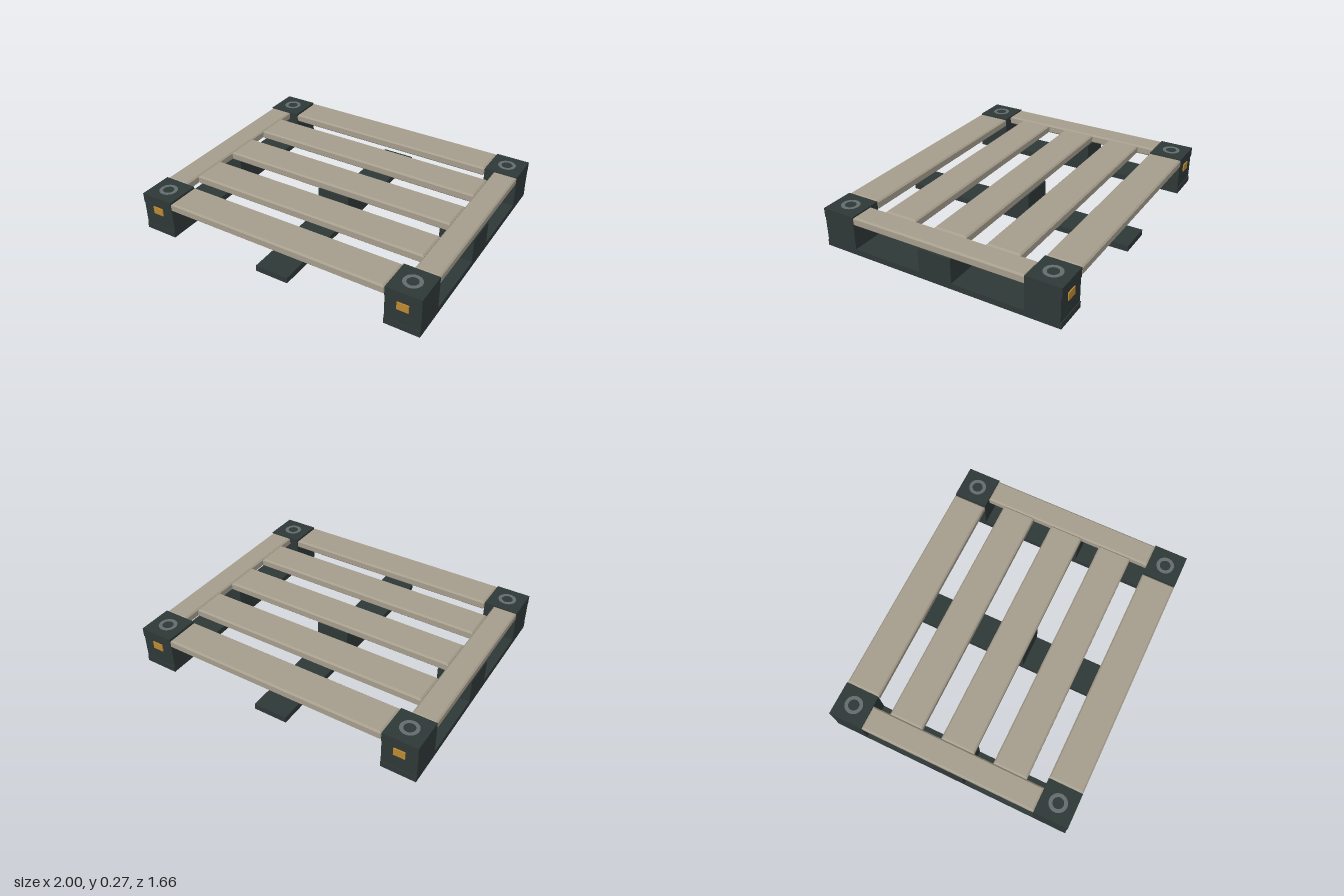
import * as THREE from 'three';

const dark = new THREE.MeshStandardMaterial({ color: 0x2e3837, name: 'dark base' });
const wood = new THREE.MeshStandardMaterial({ color: 0xa69e8d, name: 'weathered board' });
const amber = new THREE.MeshStandardMaterial({ color: 0xbd8a30, name: 'amber marker' });
const grey = new THREE.MeshStandardMaterial({ color: 0x636c6d, name: 'grey ring' });

export function createModel() {
  const model = new THREE.Group();
  model.name = 'pallet';

  const add = (name, geometry, material, x, y, z) => {
    const mesh = new THREE.Mesh(geometry, material);
    mesh.name = name;
    mesh.position.set(x, y, z);
    model.add(mesh);
    return mesh;
  };

  // Box given by its centre in plan and its bottom and top heights
  const box = (name, material, x, z, w, d, y0, y1) =>
    add(name, new THREE.BoxGeometry(w, y1 - y0, d), material, x, (y0 + y1) / 2, z);

  // Deck board with chamfered edges
  const board = (name, x, z, w, d) => {
    const y0 = 0.205, y1 = 0.265, b = 0.01;
    const hw = w / 2 - b, hd = d / 2 - b;
    const shape = new THREE.Shape([
      new THREE.Vector2(-hw, -hd), new THREE.Vector2(hw, -hd),
      new THREE.Vector2(hw, hd), new THREE.Vector2(-hw, hd),
    ]);
    const geometry = new THREE.ExtrudeGeometry(shape, {
      depth: y1 - y0 - 2 * b, bevelEnabled: true,
      bevelSize: b, bevelThickness: b, bevelSegments: 1,
    });
    geometry.rotateX(-Math.PI / 2);
    add(name, geometry, wood, x, y0 + b, z);
  };

  // Three runners, each with a middle block
  for (const x of [-0.885, 0, 0.885]) {
    box('runner', dark, x, 0, 0.23, 1.66, 0, 0.04);
    box('middleBlock', dark, x, 0, 0.23, 0.23, 0.04, 0.205);
  }
  // Short blocks under the ends of the central runner are absent: only the corners rise

  // Corner blocks with caps, socket rings and markers
  for (const sx of [-1, 1]) {
    for (const sz of [-1, 1]) {
      const x = sx * 0.885, z = sz * 0.715;
      box('cornerBlock', dark, x, z - sz * 0.0025, 0.23, 0.225, 0.04, 0.205);
      box('cornerCap', dark, x, z, 0.23, 0.23, 0.205, 0.267);
      const ring = add('socketRing', new THREE.RingGeometry(0.036, 0.06, 32), grey, x, 0.269, z);
      ring.rotation.x = -Math.PI / 2;
      box('marker', amber, x, sz * 0.828, 0.075, 0.008, 0.14, 0.192);
    }
    board('sideBoard', sx * 0.916, 0, 0.16, 1.2);
  }

  // Outer and inner deck boards
  for (const z of [-0.715, 0.715]) board('endBoard', 0, z, 1.53, 0.23);
  for (const z of [-0.365, 0, 0.365]) board('deckBoard', 0, z, 1.67, 0.23);

  return model;
}
